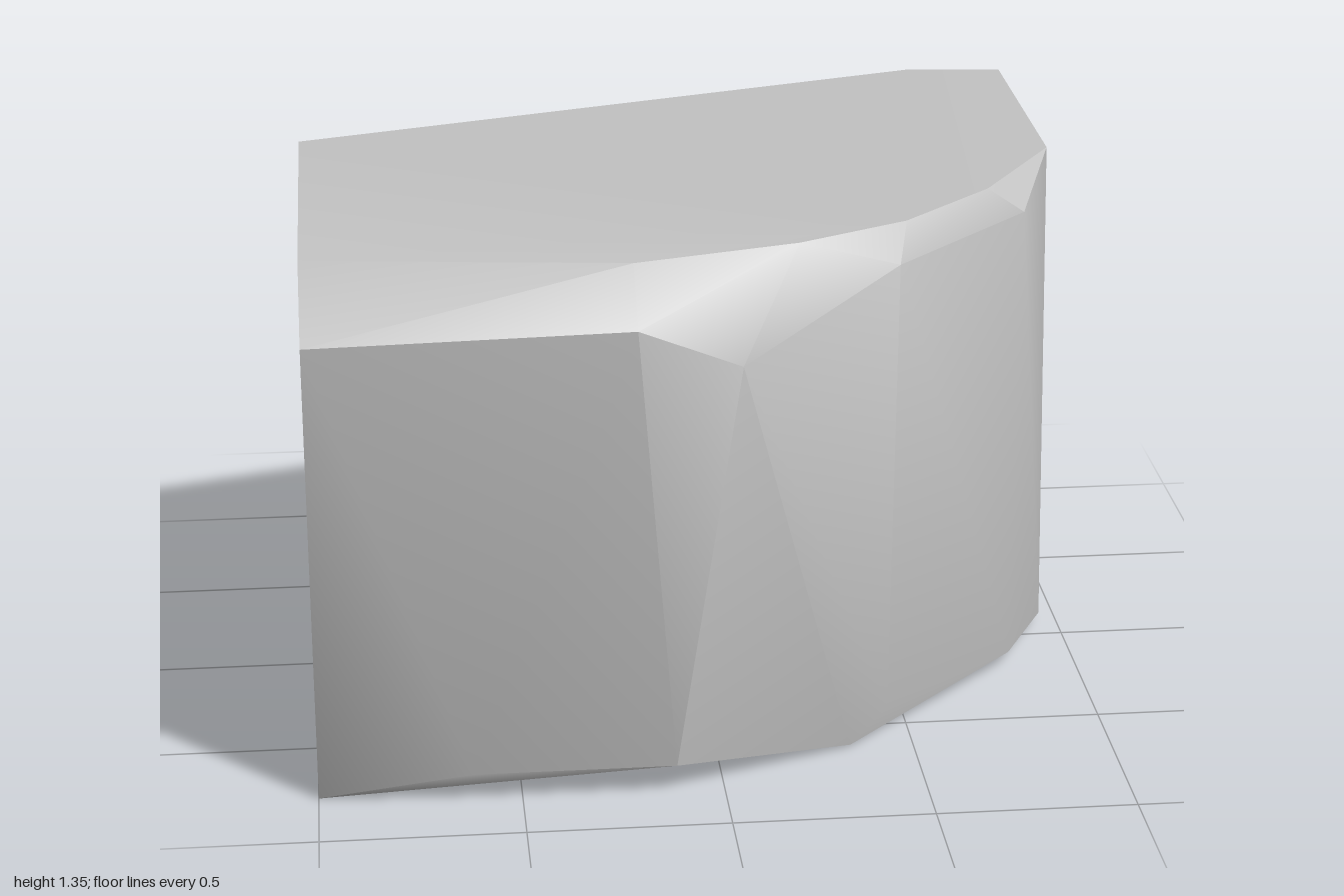
import * as THREE from 'three';
import { ConvexGeometry } from 'three/addons/geometries/ConvexGeometry.js';
import { toCreasedNormals } from 'three/addons/utils/BufferGeometryUtils.js';

export function createModel() {
  const group = new THREE.Group();
  group.name = 'stone';
  const stoneGrey = new THREE.MeshStandardMaterial({ color: 0xc2c2c2 });
  stoneGrey.name = 'stone grey';

  // Flat top, from the back left corner round to the front left
  const top = [
    [-1, 1.345, -0.33], [0.68, 1.345, -0.84], [0.935, 1.337, -0.84], [0.935, 1.337, -0.12],
    [0.72, 1.345, 0.23], [0.48, 1.345, 0.46], [0.2, 1.345, 0.6], [-0.21, 1.345, 0.71], [-1, 1.345, 0.62],
  ];
  // Upper rim of the curved wall, below the top bevel
  const upperRim = [
    [-1, 1.2, 0.83], [-0.21, 1.22, 0.84], [0.04, 1.12, 0.832], [0.45, 1.27, 0.57], [0.82, 1.27, 0.2],
  ];
  // Lower rim of the curved wall, above the bottom bevel
  const lowerRim = [
    [-0.62, 0.08, 0.84], [-0.12, 0.08, 0.84], [0.44, 0.08, 0.57], [0.82, 0.04, 0.19],
  ];
  // Underside, and the point of the overhanging back
  const bottom = [
    [-1, 0, -0.33], [-1, 0, 0.775], [0.34, 0.005, 0.62], [0.95, 0.03, -0.07], [0.95, 0.03, -0.33],
  ];
  const backPoint = [[1, 0.82, -0.84]];

  const points = [...top, ...upperRim, ...lowerRim, ...bottom, ...backPoint]
    .map((p) => new THREE.Vector3(...p));
  const block = new THREE.Mesh(toCreasedNormals(new ConvexGeometry(points), 0.7), stoneGrey);
  block.name = 'chippedBlock';
  group.add(block);
  return group;
}
